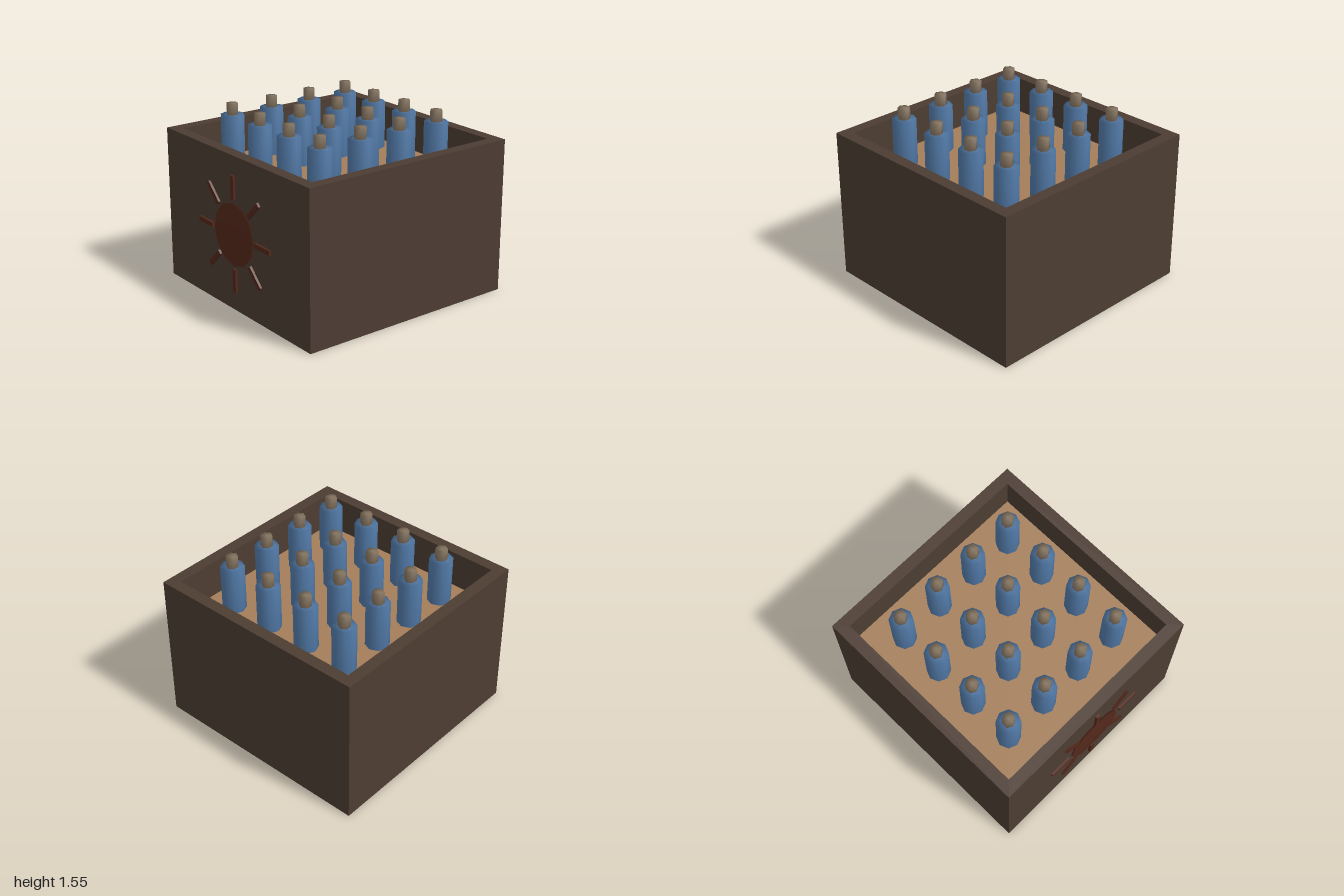
import * as THREE from 'three';
import { mergeVertices } from 'three/addons/utils/BufferGeometryUtils.js';

const HEIGHT = 1.32, HALF = 0.99, WALL = 0.1, CENTER_Z = -0.01;
const FLOOR = 1.0, BOTTLE_BOTTOM = 1.05, BOTTLE_TOP = 1.455, CAP_TOP = 1.55;

const material = (color) => new THREE.MeshStandardMaterial({ color });

// Cylinder whose normals are shared between side and ends
function softCylinder(radius, height, sides) {
  const g = new THREE.CylinderGeometry(radius, radius, height, sides);
  g.deleteAttribute('normal');
  g.deleteAttribute('uv');
  const merged = mergeVertices(g, 1e-4);
  merged.computeVertexNormals();
  return merged;
}

function addMesh(parent, name, geometry, mat, x = 0, y = 0, z = 0) {
  const mesh = new THREE.Mesh(geometry, mat);
  mesh.name = name;
  mesh.position.set(x, y, z);
  parent.add(mesh);
  return mesh;
}

function squarePath(PathType, half) {
  return new PathType([[-half, -half], [half, -half], [half, half], [-half, half]]
    .map(([x, y]) => new THREE.Vector2(x, y)));
}

export function createModel() {
  const model = new THREE.Group();
  model.name = 'bottleCrate';
  const wood = material(0x4d3d33);
  const lining = material(0xa57e5a);
  const glass = material(0x527aa8);
  const cork = material(0x857460);
  const paint = material(0x54281b);

  // Crate: four walls as a square ring, a bottom board and a raised inner floor
  const crate = new THREE.Group();
  crate.name = 'crate';
  crate.position.z = CENTER_Z;
  model.add(crate);
  const ring = squarePath(THREE.Shape, HALF);
  ring.holes.push(squarePath(THREE.Path, HALF - WALL));
  const walls = new THREE.ExtrudeGeometry(ring, { depth: HEIGHT, bevelEnabled: false });
  walls.rotateX(-Math.PI / 2);
  addMesh(crate, 'walls', walls, wood);
  const inner = 2 * (HALF - WALL);
  addMesh(crate, 'bottom', new THREE.BoxGeometry(inner, 0.1, inner), wood, 0, 0.05);
  addMesh(crate, 'innerFloor', new THREE.BoxGeometry(inner, 0.05, inner), lining, 0, FLOOR - 0.025);

  // Bottles: four by four, eight-sided bodies with six-sided stoppers
  const bodyHeight = BOTTLE_TOP - BOTTLE_BOTTOM;
  const capHeight = CAP_TOP - BOTTLE_TOP;
  const body = softCylinder(0.099, bodyHeight, 8);
  const cap = softCylinder(0.052, capHeight, 6);
  for (let row = 0; row < 4; row++) {
    for (let col = 0; col < 4; col++) {
      const bottle = new THREE.Group();
      bottle.name = 'bottle';
      bottle.position.set((col - 1.5) * 0.396, 0, (row - 1.5) * 0.396);
      addMesh(bottle, 'bottleBody', body, glass, 0, BOTTLE_BOTTOM + bodyHeight / 2);
      addMesh(bottle, 'bottleStopper', cap, cork, 0, BOTTLE_TOP + capHeight / 2);
      crate.add(bottle);
    }
  }

  // Sun emblem on the front: a twelve-sided disc and eight rays
  const sun = new THREE.Group();
  sun.name = 'sunEmblem';
  sun.position.set(0, 0.662, 0.99);
  model.add(sun);
  const disc = softCylinder(0.265, 0.02, 12);
  disc.rotateX(Math.PI / 2);
  addMesh(sun, 'sunDisc', disc, paint);
  const ray = new THREE.BoxGeometry(0.2, 0.04, 0.02);
  for (let i = 0; i < 8; i++) {
    const angle = i * Math.PI / 4;
    const mesh = addMesh(sun, 'sunRay', ray, paint, 0.397 * Math.cos(angle), 0.397 * Math.sin(angle));
    mesh.rotation.z = angle;
  }
  return model;
}
